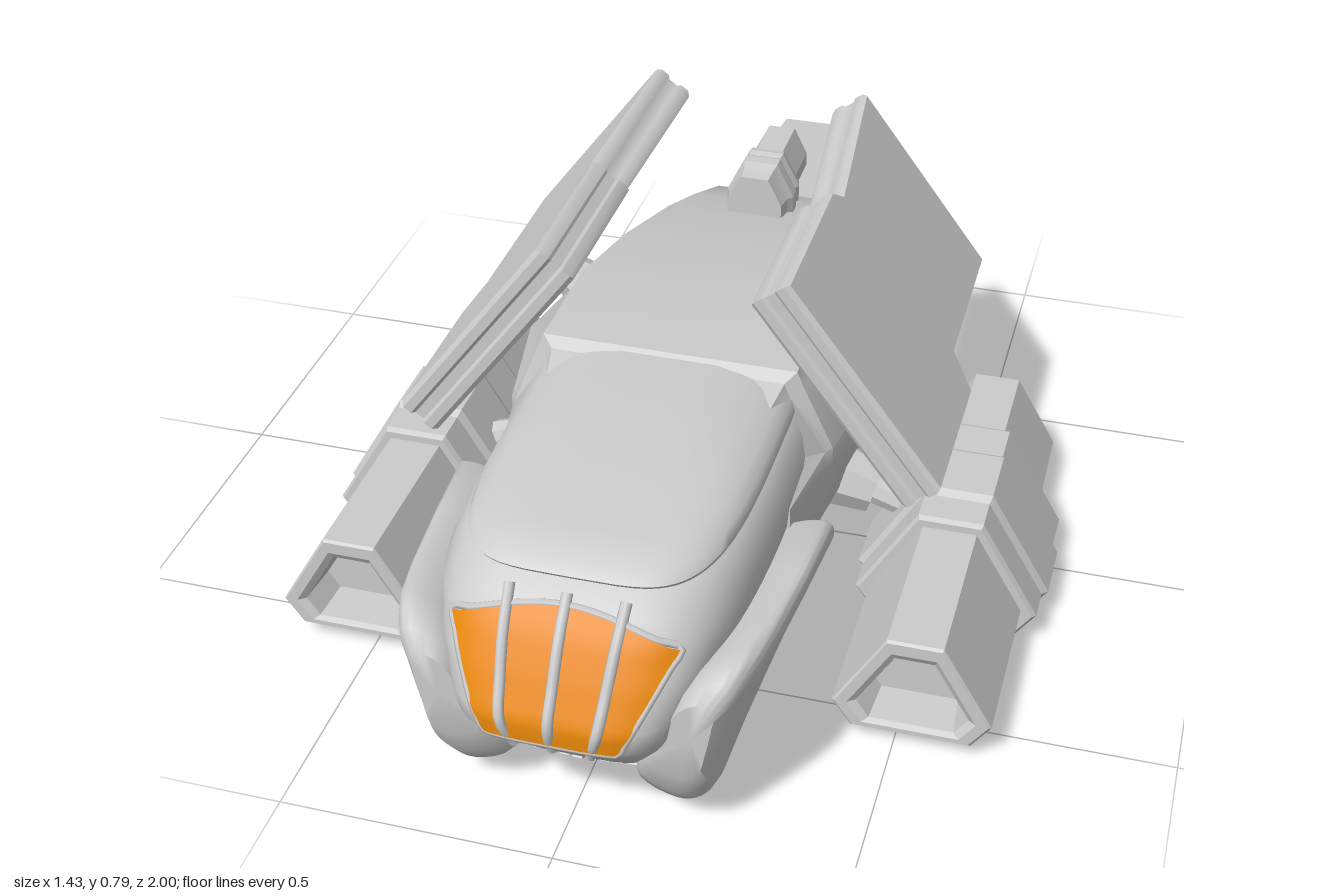
import * as THREE from 'three';
import { toCreasedNormals } from 'three/addons/utils/BufferGeometryUtils.js';

const V = (x, y, z) => new THREE.Vector3(x, y, z);
const lerp = THREE.MathUtils.lerp;
const grey = new THREE.MeshStandardMaterial({ color: 0xcccccc });
const amber = new THREE.MeshStandardMaterial({ color: 0xe8880c });

function mesh(name, geo, mat = grey) {
  const m = new THREE.Mesh(geo, mat);
  m.name = name;
  return m;
}

// Skin closed rings one after another, cap both ends, and face the skin outward
function loft(name, rings, crease = 0.5) {
  const tris = [], n = rings[0].length;
  for (let i = 0; i < rings.length - 1; i++) {
    for (let j = 0; j < n; j++) {
      const k = (j + 1) % n, A = rings[i], B = rings[i + 1];
      tris.push([A[j], A[k], B[k]], [A[j], B[k], B[j]]);
    }
  }
  const cap = (r, flip) => {
    const c = r.reduce((s, p) => s.add(p), V(0, 0, 0)).divideScalar(n);
    r.forEach((p, j) => tris.push(flip ? [c, r[(j + 1) % n], p] : [c, p, r[(j + 1) % n]]));
  };
  cap(rings[0], true);
  cap(rings[rings.length - 1], false);
  const volume = tris.reduce((s, [a, b, c]) => s + a.dot(b.clone().cross(c)), 0);
  if (volume < 0) tris.forEach(t => t.reverse());
  const geo = new THREE.BufferGeometry().setFromPoints(tris.flat());
  return mesh(name, toCreasedNormals(geo, crease));
}

// Half outline (starting and ending on the centre line) to a full ring
const mirrorHalf = half => half.concat(half.slice(1, -1).reverse().map(p => V(-p.x, p.y, p.z)));

// Tapered bar between two points
function bar(name, a, b, ra, rb, sides = 8) {
  const d = b.clone().sub(a);
  const m = mesh(name, toCreasedNormals(new THREE.CylinderGeometry(rb, ra, d.length(), sides), 0.5));
  m.position.copy(a).lerp(b, 0.5);
  m.quaternion.setFromUnitVectors(V(0, 1, 0), d.normalize());
  return m;
}

// Cabin levels: y, front z, half width
const BACK = 0.28, E = 0.45;
const cabinLevels = [
  [0.085, 0.8, 0.14], [0.11, 0.86, 0.19], [0.16, 0.905, 0.225], [0.21, 0.95, 0.235], [0.25, 0.985, 0.235],
  [0.29, 0.985, 0.245], [0.36, 0.947, 0.27], [0.42, 0.91, 0.275], [0.455, 0.88, 0.262], [0.485, 0.85, 0.245], [0.51, 0.75, 0.2]];
const canopyLevels = [
  [0.47, 0.83, 0.24], [0.495, 0.85, 0.242], [0.512, 0.83, 0.235], [0.526, 0.76, 0.216],
  [0.54, 0.64, 0.185], [0.55, 0.52, 0.14], [0.557, 0.42, 0.09]];

function cabinRing([y, zf, w]) {
  const ring = [];
  for (let i = 0; i <= 40; i++) {
    const t = (i / 40 - 0.5) * Math.PI, s = Math.sin(t);
    ring.push(V(Math.sign(s) * w * Math.abs(s) ** E, y, BACK + (zf - BACK) * Math.max(0, Math.cos(t)) ** E));
  }
  return ring;
}

// Depth of the nose surface at a given x and y
function noseZ(x, y) {
  let i = 0;
  while (i < cabinLevels.length - 2 && cabinLevels[i + 1][0] < y) i++;
  const [a, b] = [cabinLevels[i], cabinLevels[i + 1]], f = (y - a[0]) / (b[0] - a[0]);
  const q = Math.min(1, Math.abs(x) / lerp(a[2], b[2], f));
  return BACK + (lerp(a[1], b[1], f) - BACK) * (1 - q ** (2 / E)) ** (E / 2);
}

function cabin() {
  const g = new THREE.Group();
  g.name = 'cabin';
  g.add(loft('cabinShell', cabinLevels.map(cabinRing), 0.7));
  g.add(loft('canopy', canopyLevels.map(cabinRing), 0.7));

  // Curved window, wider at the top
  const rimPoint = (a, b, out) => {
    const y = lerp(0.25, 0.458 - 0.045 * a * a, b), x = a * lerp(0.115, 0.197, b);
    return V(x, y, noseZ(x, y) + out);
  };
  const pane = new THREE.PlaneGeometry(2, 1, 24, 14), p = pane.attributes.position;
  for (let i = 0; i < p.count; i++) {
    const q = rimPoint(p.getX(i), p.getY(i) + 0.5, 0.006);
    p.setXYZ(i, q.x, q.y, q.z);
  }
  pane.computeVertexNormals();
  g.add(mesh('window', pane, amber));

  // Window frame and upright ribs
  const rim = [];
  for (let i = 0; i < 10; i++) rim.push(rimPoint(i / 5 - 1, 0, 0));
  for (let i = 0; i < 6; i++) rim.push(rimPoint(1, i / 6, 0));
  for (let i = 0; i < 10; i++) rim.push(rimPoint(1 - i / 5, 1, 0));
  for (let i = 0; i < 6; i++) rim.push(rimPoint(-1, 1 - i / 6, 0));
  g.add(mesh('windowFrame', new THREE.TubeGeometry(new THREE.CatmullRomCurve3(rim, true), 80, 0.007, 6, true)));
  for (const s of [-1, 0, 1]) {
    const path = [0, 0.25, 0.5, 0.75, 1].map(f => {
      const x = s * lerp(0.066, 0.1, Math.sqrt(f)), y = lerp(0.228, 0.475, f);
      return V(x, y, noseZ(x, y) + 0.006);
    });
    g.add(mesh('windowRib', new THREE.TubeGeometry(new THREE.CatmullRomCurve3(path), 16, 0.01, 8)));
  }

  // Chin vent slats
  for (let i = -4; i <= 4; i++) {
    const slat = mesh('chinVentSlat', new THREE.BoxGeometry(0.018, 0.03 - Math.abs(i) * 0.003, 0.03));
    slat.position.set(i * 0.024, 0.103, 0.835 - Math.abs(i) * 0.002);
    slat.rotation.x = 0.9;
    g.add(slat);
  }
  return g;
}

// Hull sections: z, roof y, roof half width, widest half width, its y, belly half width, belly y
const hullSections = [
  [0.46, 0.5, 0.19, 0.275, 0.38, 0.16, 0.09], [0.29, 0.545, 0.22, 0.3, 0.39, 0.19, 0.085],
  [0.275, 0.565, 0.24, 0.31, 0.39, 0.2, 0.085], [0.05, 0.565, 0.24, 0.35, 0.4, 0.2, 0.09],
  [-0.15, 0.54, 0.215, 0.32, 0.39, 0.18, 0.11], [-0.34, 0.505, 0.18, 0.265, 0.37, 0.16, 0.14],
  [-0.46, 0.47, 0.16, 0.235, 0.35, 0.14, 0.165], [-0.57, 0.435, 0.135, 0.2, 0.335, 0.12, 0.2],
  [-0.585, 0.42, 0.12, 0.18, 0.33, 0.11, 0.215]];
const hullRing = ([z, top, wt, w, mid, wb, bot]) => mirrorHalf([
  V(0, top, z), V(wt, top, z), V(wt + 0.012, top - 0.03, z), V(w, mid + 0.02, z), V(w, mid - 0.02, z),
  V(lerp(w, wb, 0.25), lerp(mid, bot, 0.55), z), V(lerp(w, wb, 0.6), lerp(mid, bot, 0.85), z),
  V(wb, bot, z), V(0, bot, z)]);

// Cheek armour, flared along its top edge: z, flare, scale in x, scale in y, centre y
function cheek(s) {
  const base = new THREE.CatmullRomCurve3([
    V(0.24, 0.365, 0), V(0.31, 0.39, 0), V(0.322, 0.365, 0), V(0.305, 0.29, 0), V(0.275, 0.18, 0), V(0.24, 0.08, 0),
    V(0.19, 0.05, 0), V(0.11, 0.09, 0), V(0.15, 0.22, 0)], true, 'centripetal').getPoints(44).slice(0, -1);
  const stations = [
    [0.44, 0.03, 0.97, 0.83, 0.232], [0.45, 0.034, 1, 0.87, 0.232], [0.6, 0.022, 1, 0.91, 0.23], [0.75, 0.006, 1, 0.97, 0.224],
    [0.83, -0.008, 1, 1, 0.222], [0.87, -0.016, 0.94, 0.93, 0.228], [0.9, -0.02, 0.82, 0.76, 0.24], [0.925, -0.024, 0.6, 0.5, 0.255]];
  return loft('cheekArmour', stations.map(([z, flare, kx, ky, cy]) => base.map(p =>
    V(s * (0.23 + flare * (p.y - 0.05) / 0.34 + (p.x - 0.23) * kx), cy + (p.y - 0.222) * ky, z))), 0.9);
}

// Engine pod, hollow at both ends, with a stepped collar: z, scale, centre y
function pod(s) {
  const outline = [[0.185, -0.07], [0.065, 0.135], [-0.065, 0.135], [-0.185, -0.07], [-0.14, -0.135], [0.14, -0.135]];
  const stations = [
    [-0.22, 0.5, 0.125], [-0.31, 0.54, 0.125], [-0.32, 0.59, 0.125], [-0.32, 0.685, 0.125], [-0.08, 0.7, 0.126],
    [-0.08, 0.9, 0.135], [-0.07, 0.94, 0.135], [0.015, 0.94, 0.135], [0.03, 1, 0.136], [0.155, 1, 0.136],
    [0.17, 0.94, 0.135], [0.235, 0.94, 0.135], [0.245, 0.9, 0.135], [0.245, 0.78, 0.137], [0.575, 0.78, 0.137],
    [0.58, 0.75, 0.137], [0.58, 0.63, 0.13], [0.57, 0.55, 0.125], [0.49, 0.5, 0.125]];
  return loft('enginePod', stations.map(([z, k, cy]) =>
    outline.map(([x, y]) => V(s * (0.53 + x * k), cy + y * k, z))), 0.2);
}

// Tilted slab wing with a shallow groove around its edge: offset across the slab, outline scale
function panel(s) {
  const outline = [[0.02, 0.32], [0.02, -0.02], [0.046, -0.05], [-0.005, -0.395], [0.425, -0.395],
    [0.43, -0.045], [0.505, -0.005], [0.505, 0.32]];
  const layers = [[-0.043, 0.98], [-0.034, 1], [-0.016, 1], [-0.01, 0.985], [0.01, 0.985], [0.016, 1], [0.034, 1], [0.043, 0.98]];
  return loft('wingPanel', layers.map(([n, k]) => outline.map(([a, z]) => {
    const d = 0.25 + (a - 0.25) * k;
    return V(s * (0.183 + 0.6 * d + 0.8 * n), 0.763 - 0.8 * d + 0.6 * n, -0.035 + (z + 0.035) * k);
  })));
}

// Small thruster, hollow at the rear: z, scale
function thruster(x, y, angle) {
  const outline = [[-0.07, -0.055], [0.07, -0.055], [0.07, -0.02], [0.035, 0.05], [-0.035, 0.05], [-0.07, -0.02]];
  const stations = [[-0.35, 0.8], [-0.385, 0.88], [-0.4, 1], [-0.425, 1], [-0.435, 0.92], [-0.45, 1],
    [-0.465, 0.95], [-0.47, 0.78], [-0.585, 0.78], [-0.585, 0.6], [-0.54, 0.5]];
  const c = Math.cos(angle), d = Math.sin(angle);
  return loft('thruster', stations.map(([z, k]) =>
    outline.map(([u, v]) => V(x + (u * c - v * d) * k, y + (u * d + v * c) * k, z))), 0.3);
}

// Hollow tapered tail: z, half width, half height, centre y
function tail() {
  const outline = [[0.6, -1], [1, 0.6], [0.86, 1], [-0.86, 1], [-1, 0.6], [-0.6, -1]];
  const stations = [[-0.5, 0.145, 0.094, 0.324], [-0.995, 0.1, 0.073, 0.318], [-1, 0.094, 0.069, 0.318],
    [-1, 0.07, 0.048, 0.32], [-0.95, 0.06, 0.04, 0.32]];
  return loft('tailBoom', stations.map(([z, w, h, cy]) => outline.map(([x, y]) => V(x * w, cy + y * h, z))));
}

export function createModel() {
  const g = new THREE.Group();
  g.name = 'spacecraft';
  g.add(cabin(), loft('hull', hullSections.map(hullRing), 0.6), tail());
  g.add(thruster(0, 0.55, 0));
  for (const s of [1, -1]) {
    g.add(cheek(s), pod(s), panel(s));
    g.add(thruster(s * 0.195, 0.245, -s * Math.PI / 2));
    // Pod arm: wide socket at the hull, thin arm into the pod
    g.add(bar('podArmSocket', V(s * 0.24, 0.235, 0.09), V(s * 0.36, 0.2, 0.09), 0.075, 0.053));
    g.add(bar('podArm', V(s * 0.33, 0.205, 0.09), V(s * 0.48, 0.155, 0.09), 0.03, 0.03));
    // Wing mount
    g.add(bar('wingMountSocket', V(s * 0.22, 0.46, -0.03), V(s * 0.3, 0.512, -0.03), 0.06, 0.04));
    g.add(bar('wingMount', V(s * 0.28, 0.5, -0.03), V(s * 0.34, 0.545, -0.03), 0.03, 0.03));
  }
  return g;
}
